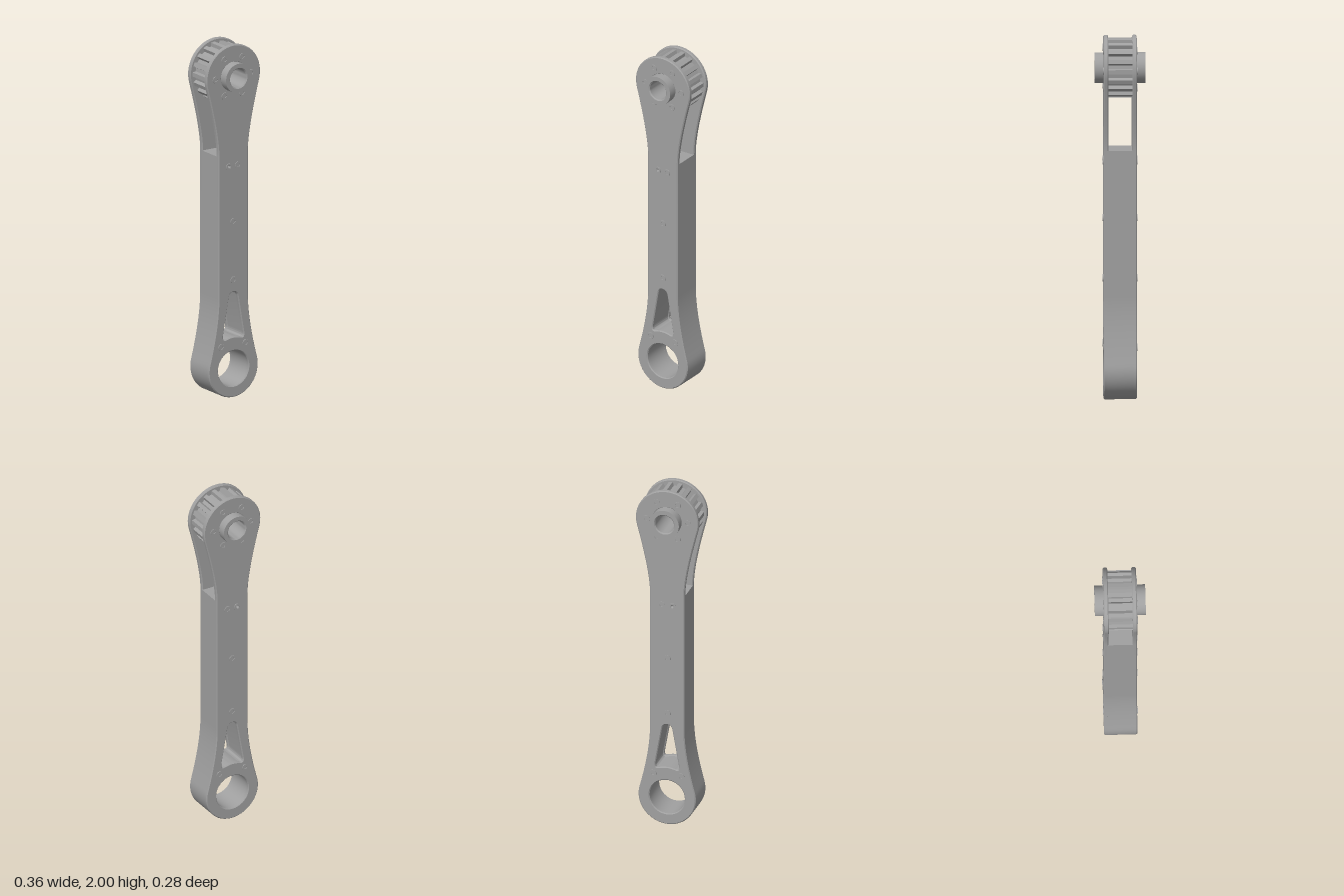
import * as THREE from 'three';
import { toCreasedNormals } from 'three/addons/utils/BufferGeometryUtils.js';

const metal = new THREE.MeshStandardMaterial({ color: 0xa0a0a0 });
metal.name = 'grey metal';

const PIVOT = 1.822;   // height of the pulley axis
const EYE = 0.168;     // height of the lower bore

// Extrudes a shape along z, centred on z = 0
function slab(shape, thickness, bevel = 0, curveSegments = 20) {
  const depth = thickness - 2 * bevel;
  const g = new THREE.ExtrudeGeometry(shape, {
    depth, curveSegments, bevelEnabled: bevel > 0, bevelThickness: bevel,
    bevelSize: bevel, bevelOffset: 0, bevelSegments: 1,
  });
  g.translate(0, 0, -depth / 2);
  return toCreasedNormals(g, 0.45);
}

function circle(x, y, r) {
  const p = new THREE.Path();
  p.absarc(x, y, r, 0, Math.PI * 2, true);
  return p;
}

// Tapered window with rounded corners and a bowed lower edge
function windowPath() {
  const p = new THREE.Path();
  p.moveTo(-0.05, 0.333);
  p.quadraticCurveTo(-0.077, 0.328, -0.071, 0.365);
  p.lineTo(-0.034, 0.575);
  p.quadraticCurveTo(-0.028, 0.605, 0, 0.605);
  p.quadraticCurveTo(0.028, 0.605, 0.034, 0.575);
  p.lineTo(0.071, 0.365);
  p.quadraticCurveTo(0.077, 0.328, 0.05, 0.333);
  p.quadraticCurveTo(0, 0.35, -0.05, 0.333);
  return p;
}

// Arm outline; the full one carries the upper rounded end, inset shrinks it
function armShape(full, inset = 0) {
  const a = Math.PI / 12, w = 0.098 - inset, r = 0.163 - inset, R = 0.178 - inset;
  const s = new THREE.Shape();
  s.absarc(0, EYE, r, Math.PI - a, Math.PI * 2 + a, false);
  s.quadraticCurveTo(w, 0.43, w, 0.58);
  s.lineTo(w, 1.38);
  if (full) {
    s.quadraticCurveTo(w, 1.5, R * Math.cos(a), PIVOT - R * Math.sin(a));
    s.absarc(0, PIVOT, R, -a, Math.PI + a, false);
    s.quadraticCurveTo(-w, 1.5, -w, 1.38);
  } else s.lineTo(-w, 1.38);
  s.lineTo(-w, 0.58);
  s.quadraticCurveTo(-w, 0.43, -r * Math.cos(a), EYE + r * Math.sin(a));
  s.holes.push(circle(0, EYE, 0.1 + inset), windowPath(), circle(-0.03, 1.315, 0.009));
  if (full) s.holes.push(circle(0, PIVOT, 0.08 + inset));
  return s;
}

// Toothed belt pulley outline
function pulleyShape(teeth, outer, root) {
  const pts = [];
  const step = (Math.PI * 2) / teeth;
  for (let i = 0; i < teeth; i++) {
    for (const [f, r] of [[-0.3, root], [-0.2, outer], [0.2, outer], [0.3, root]]) {
      const t = (i + f) * step;
      pts.push(new THREE.Vector2(r * Math.cos(t), r * Math.sin(t)));
    }
  }
  const s = new THREE.Shape(pts);
  s.holes.push(circle(0, 0, 0.07));
  return s;
}

// Round screw head with a hexagonal socket
function screwShape() {
  const s = new THREE.Shape();
  s.absarc(0, 0, 0.02, 0, Math.PI * 2, false);
  const hex = [];
  for (let i = 0; i < 6; i++) {
    const t = (-i * Math.PI) / 3;
    hex.push(new THREE.Vector2(0.011 * Math.cos(t), 0.011 * Math.sin(t)));
  }
  s.holes.push(new THREE.Path(hex));
  return s;
}

export function createModel() {
  const group = new THREE.Group();
  const add = (name, geometry, x, y, z) => {
    const m = new THREE.Mesh(geometry, metal);
    m.name = name;
    m.position.set(x, y, z);
    group.add(m);
  };

  // Core block between the side plates
  add('coreBlock', slab(armShape(false), 0.14), 0, 0, 0);

  // Side plates with chamfered rims
  const plate = slab(armShape(true, 0.005), 0.025, 0.005);
  add('frontPlate', plate, 0, 0, 0.0775);
  add('backPlate', plate, 0, 0, -0.0775);

  // Pulley and its hollow hub
  add('pulley', slab(pulleyShape(18, 0.163, 0.143), 0.13), 0, PIVOT, 0);
  const hubProfile = [
    [0.053, -0.132], [0.059, -0.138], [0.083, -0.138], [0.083, 0.138],
    [0.059, 0.138], [0.053, 0.132], [0.053, -0.132],
  ].map(([r, h]) => new THREE.Vector2(r, h));
  const hub = new THREE.LatheGeometry(hubProfile, 36).rotateX(Math.PI / 2);
  add('hub', toCreasedNormals(hub, 0.45), 0, PIVOT, 0);

  // Screws along the arm and around the hub, on both faces
  const spots = [[-0.03, 1.315], [0.03, 1.315], [0, 1], [0, 0.67], [-0.08, 0.3], [0.08, 0.3]];
  for (let i = 0; i < 6; i++) {
    const t = (i * Math.PI) / 3;
    spots.push([0.118 * Math.cos(t), PIVOT + 0.118 * Math.sin(t)]);
  }
  const screw = slab(screwShape(), 0.008, 0, 12);
  for (const [x, y] of spots) {
    for (const side of [1, -1]) add('screwHead', screw, x, y, side * 0.09);
  }
  return group;
}
